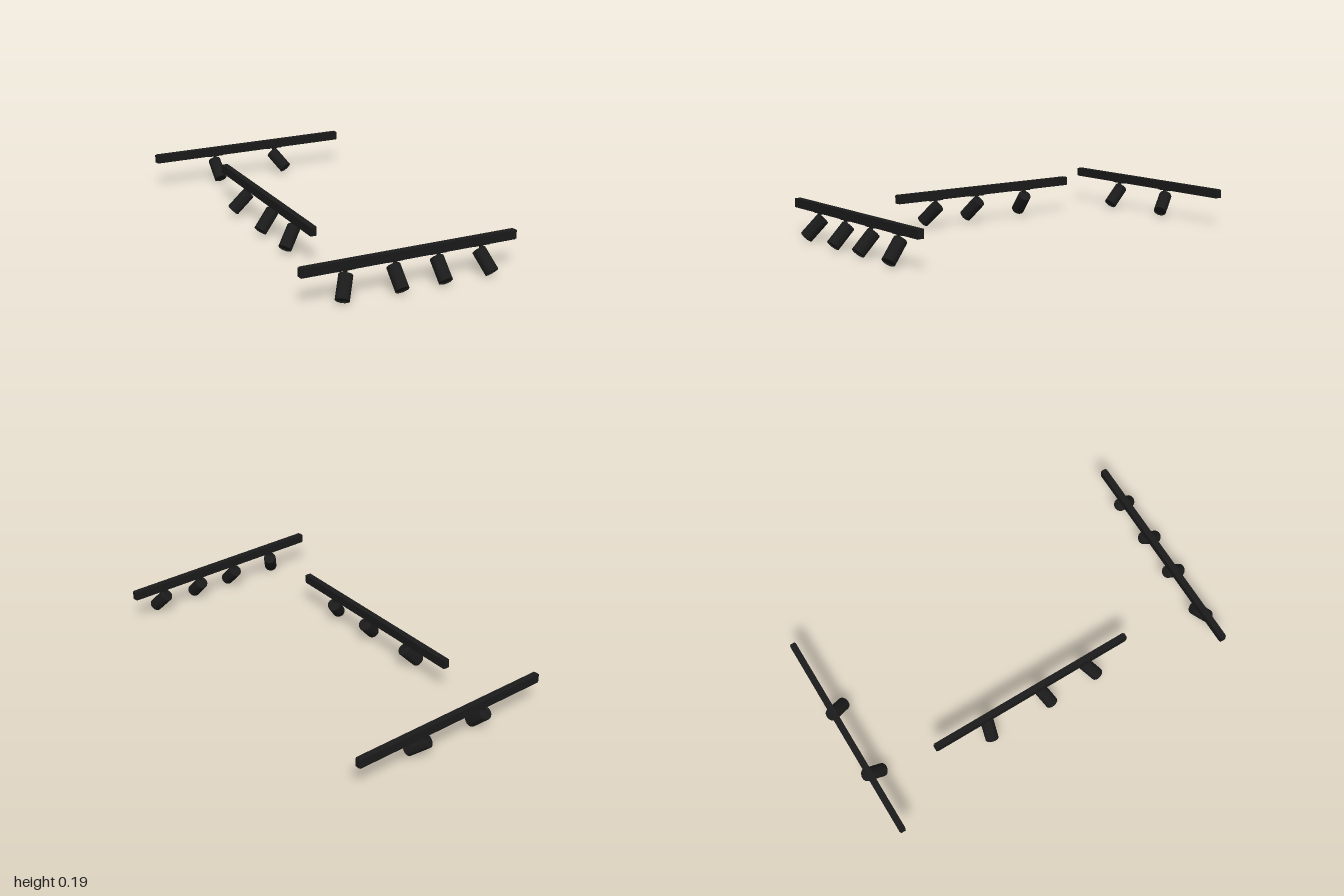
import * as THREE from 'three';
import { toCreasedNormals } from 'three/addons/utils/BufferGeometryUtils.js';

const black = new THREE.MeshStandardMaterial({ color: 0x1a1a1a });
const deg = THREE.MathUtils.degToRad;
const RAIL = { length: 1.115, width: 0.032, height: 0.045 };
const LAMP = { length: 0.124, radius: 0.0335 };

function mesh(name, geometry, x = 0, y = 0, z = 0) {
  const m = new THREE.Mesh(geometry, black);
  m.name = name;
  m.position.set(x, y, z);
  return m;
}

// Rail profile with a slot along the underside; origin at the bottom centre
function railGeometry() {
  const w = RAIL.width / 2, h = RAIL.height, s = 0.008, d = 0.012;
  const profile = new THREE.Shape([
    [-w, 0], [-s, 0], [-s, d], [s, d], [s, 0], [w, 0], [w, h], [-w, h],
  ].map(([x, y]) => new THREE.Vector2(x, y)));
  const depth = RAIL.length - 0.012;
  return new THREE.ExtrudeGeometry(profile, { depth, bevelEnabled: false })
    .translate(0, 0, -depth / 2).rotateY(Math.PI / 2);
}

// Lamp can: softened edges and a recessed lens at the lower end
function canGeometry() {
  const h = LAMP.length / 2, r = LAMP.radius;
  const points = [
    [0, -h + 0.006], [r - 0.004, -h + 0.006], [r - 0.003, -h], [r - 0.001, -h],
    [r, -h + 0.001], [r, h - 0.004], [r - 0.001, h - 0.001], [r - 0.004, h], [0, h],
  ].map(([x, y]) => new THREE.Vector2(x, y));
  return toCreasedNormals(new THREE.LatheGeometry(points, 32), 0.6);
}

const railGeo = railGeometry();
const capGeo = new THREE.BoxGeometry(0.006, RAIL.height - 0.004, RAIL.width - 0.006);
const canGeo = canGeometry();
const adapterGeo = new THREE.BoxGeometry(0.083, 0.012, 0.016);
const neckGeo = new THREE.CylinderGeometry(0.009, 0.009, 0.03, 16);

// Spotlight hung at x on a rail, turned by yaw and tipped by tilt (degrees)
function spotlight(x, yaw, tilt) {
  const lamp = new THREE.Group();
  lamp.name = 'spotlight';
  lamp.position.x = x;
  const swivel = new THREE.Group();
  swivel.name = 'swivel';
  swivel.rotation.y = deg(yaw);
  const head = new THREE.Group();
  head.name = 'lampHead';
  head.position.y = -0.02;
  head.rotation.x = -deg(tilt);
  head.add(mesh('can', canGeo, 0, 0.003 - LAMP.length / 2, -0.018));
  swivel.add(mesh('neck', neckGeo, 0, -0.015, 0), head);
  lamp.add(mesh('adapter', adapterGeo, 0, 0.001, 0), swivel);
  return lamp;
}

function track(name, lamps) {
  const g = new THREE.Group();
  g.name = name;
  g.add(mesh('rail', railGeo));
  for (const side of [-1, 1]) {
    g.add(mesh('endCap', capGeo, side * (RAIL.length / 2 - 0.003), RAIL.height / 2, 0));
  }
  for (const [x, yaw, tilt] of lamps) g.add(spotlight(x, yaw, tilt));
  return g;
}

export function createModel() {
  const model = new THREE.Group();
  model.name = 'trackLights';

  const front = track('frontTrack', [
    [-0.333, -38, 42], [-0.084, 0, 45], [0.142, 0, 45], [0.372, 17, 44],
  ]);
  front.position.set(0, 0.149, 0.9);

  const back = track('backTrack', [[-0.207, 2, 45], [0.157, 28, 52]]);
  back.position.set(0, 0.149, -0.968);

  // Side track runs along z: local +x points to +z, local -z to +x
  const side = track('sideTrack', [
    [-0.26, -12, 44], [0.056, 20, 45], [0.319, 34, 45],
  ]);
  side.position.set(-0.285, 0.155, -0.073);
  side.rotation.y = -Math.PI / 2;
  side.children.filter((c) => c.name === 'spotlight');

  model.add(front, back, side);
  return model;
}
